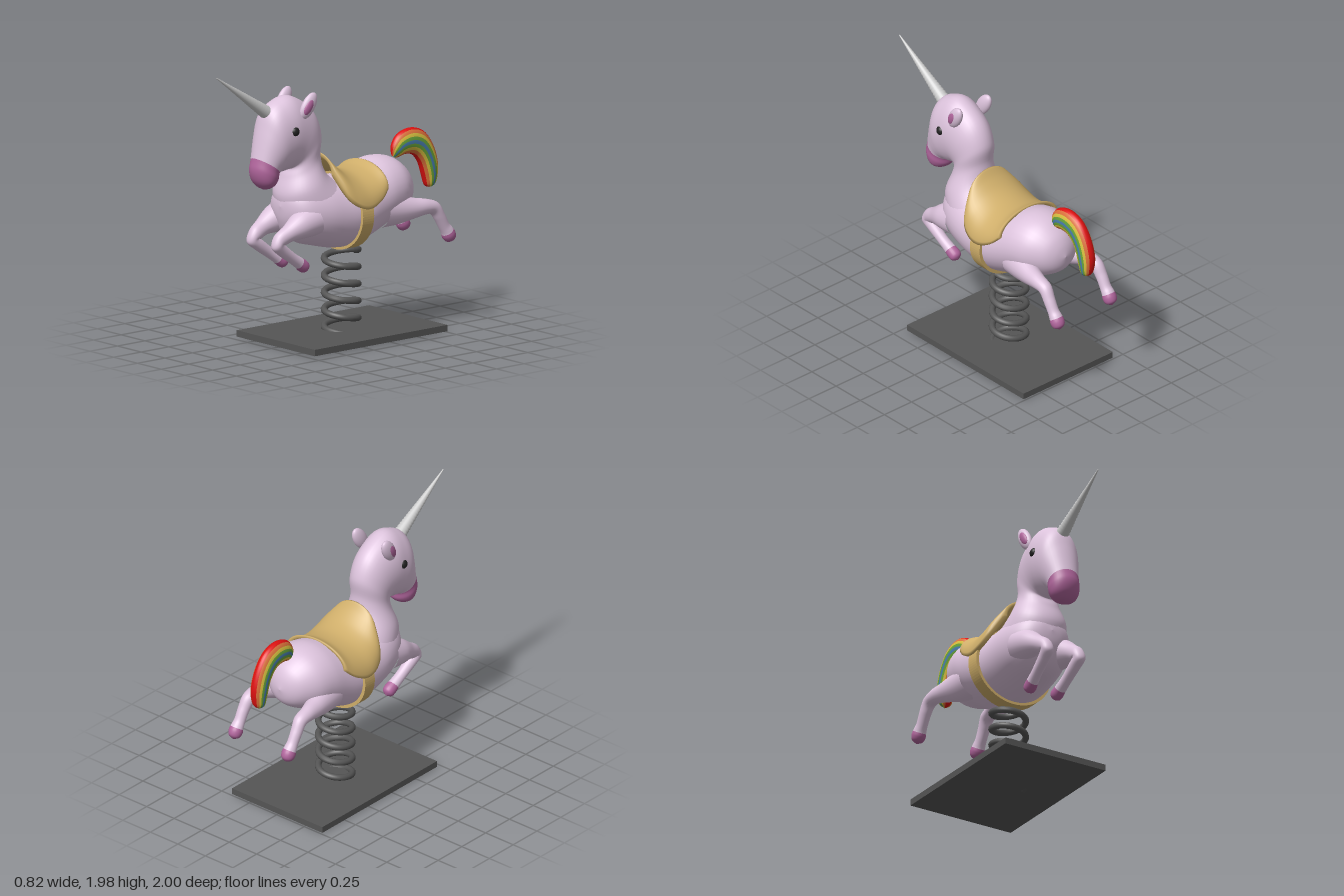
import * as THREE from 'three';

const PINK = 0xdcc3dc, PURPLE = 0xb0659c, TAN = 0xcfae6a, DARK = 0x555555;

function add(parent, name, geometry, color, side = THREE.FrontSide) {
  const mesh = new THREE.Mesh(geometry, new THREE.MeshStandardMaterial({ color, side }));
  mesh.name = name;
  parent.add(mesh);
  return mesh;
}

// Smoothly interpolates a table of rows, column by column
function sampler(rows) {
  const curves = rows[0].map((_, k) => new THREE.SplineCurve(rows.map(r => new THREE.Vector2(r[k], 0))));
  return t => curves.map(c => c.getPoint(t).x);
}

// Skins a grid of points; closed rings share their seam
function skin(rings, closed = true) {
  const n = rings[0].length, pos = [], index = [];
  for (const ring of rings) for (const p of ring) pos.push(...p);
  for (let i = 0; i < rings.length - 1; i++) {
    for (let j = 0; j < (closed ? n : n - 1); j++) {
      const k = (j + 1) % n, a = i * n, b = a + n;
      index.push(a + j, b + j, a + k, a + k, b + j, b + k);
    }
  }
  const g = new THREE.BufferGeometry();
  g.setAttribute('position', new THREE.Float32BufferAttribute(pos, 3));
  g.setIndex(index);
  g.computeVertexNormals();
  return g;
}

// Elliptical loft; row = [outer z, outer y, inner z, inner y, half width, centre x]
function loft(rows, { t0 = 0, t1 = 1, a0 = 0, a1 = 2 * Math.PI, steps = 64, around = 36 } = {}) {
  const at = sampler(rows.map(r => [...r, 0].slice(0, 6)));
  const closed = a1 - a0 > 6.28, count = closed ? around : around + 1, rings = [];
  for (let i = 0; i <= steps; i++) {
    const [zA, yA, zB, yB, rx, cx] = at(t0 + (t1 - t0) * i / steps);
    const ring = [];
    for (let j = 0; j < count; j++) {
      const a = a0 + (a1 - a0) * j / around, c = Math.cos(a) / 2;
      ring.push([cx + Math.max(rx, 0) * Math.sin(a), (yA + yB) / 2 + (yA - yB) * c, (zA + zB) / 2 + (zA - zB) * c]);
    }
    rings.push(ring);
  }
  return skin(rings, closed);
}

// Limb sections from centre-line points [z, y, x, radius]
function limbRows(pts) {
  return pts.map(([z, y, x, r], i) => {
    const p = pts[Math.max(i - 1, 0)], q = pts[Math.min(i + 1, pts.length - 1)];
    const dz = q[0] - p[0], dy = q[1] - p[1], l = Math.hypot(dz, dy);
    const nz = -dy / l * r, ny = dz / l * r;
    return [z + nz, y + ny, z - nz, y - ny, r, x];
  });
}

export function createModel() {
  const model = new THREE.Group();
  model.name = 'springRider';

  // Base plate and coil spring
  add(model, 'basePlate', new THREE.BoxGeometry(0.82, 0.045, 1.205), DARK).position.set(0, 0.033, -0.143);
  const coil = [];
  for (let i = 0; i <= 120; i++) {
    const a = i / 120 * Math.PI * 2 * 5;
    coil.push(new THREE.Vector3(0.118 * Math.cos(a), 0.024 + 0.6 * i / 120, -0.135 + 0.118 * Math.sin(a)));
  }
  add(model, 'spring', new THREE.TubeGeometry(new THREE.CatmullRomCurve3(coil), 300, 0.023, 10), DARK);

  // Torso
  add(model, 'torso', loft([
    [-0.722, 0.98, -0.722, 0.98, 0],
    [-0.70, 1.07, -0.70, 0.89, 0.09],
    [-0.65, 1.145, -0.65, 0.83, 0.165],
    [-0.55, 1.21, -0.55, 0.775, 0.235],
    [-0.43, 1.225, -0.43, 0.74, 0.265],
    [-0.30, 1.195, -0.30, 0.685, 0.275],
    [-0.15, 1.155, -0.15, 0.64, 0.285],
    [0.0, 1.15, 0.0, 0.645, 0.28],
    [0.15, 1.17, 0.15, 0.68, 0.265],
    [0.28, 1.17, 0.28, 0.72, 0.225],
    [0.36, 1.13, 0.36, 0.79, 0.17],
    [0.405, 1.07, 0.405, 0.89, 0.09],
    [0.42, 0.99, 0.42, 0.99, 0],
  ]), PINK);

  // Neck and head fan around the throat, then close at the muzzle
  const headRows = [
    [-0.10, 1.08, 0.38, 0.90, 0.24],
    [0.06, 1.20, 0.42, 1.06, 0.20],
    [0.10, 1.34, 0.385, 1.19, 0.145],
    [0.09, 1.50, 0.365, 1.24, 0.14],
    [0.17, 1.66, 0.365, 1.25, 0.15],
    [0.345, 1.765, 0.37, 1.25, 0.16],
    [0.47, 1.745, 0.39, 1.245, 0.16],
    [0.555, 1.68, 0.42, 1.24, 0.155],
    [0.60, 1.55, 0.44, 1.24, 0.14],
    [0.645, 1.36, 0.465, 1.235, 0.115],
    [0.662, 1.28, 0.475, 1.19, 0.112],
    [0.648, 1.21, 0.505, 1.155, 0.095],
    [0.615, 1.16, 0.545, 1.137, 0.055],
    [0.578, 1.135, 0.578, 1.135, 0],
  ];
  const split = 9 / 13;
  add(model, 'neckAndHead', loft(headRows, { t1: split }), PINK);
  add(model, 'muzzle', loft(headRows, { t0: split, steps: 28 }), PURPLE);

  // Ridged horn
  const horn = [];
  for (let i = 0; i <= 48; i++) {
    const t = i / 48;
    horn.push(new THREE.Vector2((0.05 - 0.046 * t) * (i % 2 ? 1 : 0.9), t * 0.568));
  }
  horn.push(new THREE.Vector2(0, 0.57));
  const hornMesh = add(model, 'horn', new THREE.LatheGeometry(horn, 24), 0xcccccc);
  hornMesh.position.set(0, 1.66, 0.53);
  hornMesh.rotation.x = Math.atan2(0.47, 0.32);

  // Legs with hooves, eyes and ears on both sides
  const legs = {
    front: [[0.24, 0.90, 0.13, 0.12], [0.36, 0.87, 0.14, 0.095], [0.46, 0.83, 0.14, 0.062], [0.535, 0.79, 0.13, 0.05],
      [0.555, 0.755, 0.13, 0.045], [0.51, 0.715, 0.125, 0.042], [0.42, 0.65, 0.12, 0.038], [0.36, 0.61, 0.115, 0.04],
      [0.31, 0.575, 0.11, 0.045], [0.285, 0.556, 0.11, 0.035], [0.27, 0.545, 0.11, 0]],
    back: [[-0.36, 0.88, 0.13, 0.13], [-0.48, 0.87, 0.16, 0.11], [-0.60, 0.865, 0.205, 0.075], [-0.70, 0.865, 0.23, 0.055],
      [-0.775, 0.845, 0.235, 0.048], [-0.82, 0.78, 0.24, 0.042], [-0.86, 0.71, 0.24, 0.04], [-0.885, 0.675, 0.24, 0.045],
      [-0.905, 0.64, 0.24, 0.05], [-0.922, 0.61, 0.24, 0.038], [-0.932, 0.592, 0.24, 0]],
  };
  const ball = new THREE.SphereGeometry(1, 24, 18);
  for (const s of [1, -1]) {
    const label = s > 0 ? 'Left' : 'Right';
    for (const [end, pts] of Object.entries(legs)) {
      const rows = limbRows(pts.map(([z, y, x, r]) => [z, y, x * s, r]));
      add(model, `${end}Leg${label}`, loft(rows, { t1: 0.73, around: 24 }), PINK);
      add(model, `${end}Hoof${label}`, loft(rows, { t0: 0.73, steps: 20, around: 24 }), PURPLE);
    }
    const eye = add(model, `eye${label}`, ball, 0x222222);
    eye.position.set(0.141 * s, 1.54, 0.41);
    eye.scale.set(0.032, 0.036, 0.036);

    const ear = new THREE.Group();
    ear.name = `ear${label}`;
    add(ear, 'earShell', ball, PINK).scale.set(0.034, 0.102, 0.054);
    const inner = add(ear, 'earInside', ball, PURPLE);
    inner.scale.set(0.022, 0.066, 0.034);
    inner.position.set(0.016 * s, -0.008, 0.008);
    ear.position.set(0.13 * s, 1.7, 0.275);
    ear.rotation.set(-0.57, 0, -0.05 * s);
    model.add(ear);
  }

  // Saddle: draped arches with thickness; row = [z, top y, bottom y, half width]
  const arch = sampler([
    [-0.335, 1.22, 1.06, 0.272],
    [-0.26, 1.185, 0.99, 0.295],
    [-0.15, 1.178, 0.945, 0.31],
    [-0.05, 1.208, 0.965, 0.305],
    [0.03, 1.268, 1.04, 0.27],
    [0.083, 1.335, 1.19, 0.175],
  ]);
  const saddleRing = (t, thick) => {
    const [z, top, low, w] = arch(t), ring = [], n = 28;
    for (const side of [1, -1]) {
      for (let j = 0; j <= n; j++) {
        const a = side * (j / n - 0.5) * Math.PI;
        const d = thick * (side > 0 ? 0 : 1) + (0.03 - thick) / 2;
        ring.push([(w - d) * Math.sin(a), low + (top - d - low) * Math.cos(a), z]);
      }
    }
    return ring;
  };
  const saddleRings = [saddleRing(0, 0), saddleRing(0, 0.02)];
  for (let i = 1; i < 30; i++) saddleRings.push(saddleRing(i / 30, 0.03));
  saddleRings.push(saddleRing(1, 0.02), saddleRing(1, 0));
  add(model, 'saddle', skin(saddleRings), TAN, THREE.DoubleSide);

  // Girth strap around the belly
  const strap = new THREE.Shape().absellipse(0, 0, 0.305, 0.272, 0, Math.PI * 2);
  strap.holes.push(new THREE.Path().absellipse(0, 0, 0.28, 0.248, 0, Math.PI * 2));
  const strapGeo = new THREE.ExtrudeGeometry(strap, { depth: 0.1, bevelEnabled: false, curveSegments: 48 });
  add(model, 'girthStrap', strapGeo, TAN).position.set(0, 0.892, -0.172);

  // Rainbow tail: stripes run lengthwise, mirrored about the middle line
  const tailRows = [
    [-0.945, 0.93, -0.945, 0.93, 0],
    [-0.985, 0.975, -0.90, 0.945, 0.042],
    [-1.0, 1.096, -0.875, 1.01, 0.055],
    [-0.96, 1.23, -0.845, 1.10, 0.055],
    [-0.877, 1.337, -0.805, 1.16, 0.055],
    [-0.76, 1.375, -0.76, 1.19, 0.055],
    [-0.65, 1.345, -0.70, 1.195, 0.05],
    [-0.595, 1.27, -0.66, 1.185, 0.035],
    [-0.595, 1.20, -0.62, 1.18, 0.01],
  ];
  const colors = [0xdd1111, 0xd9703a, 0xd8c040, 0x6aa53a, 0x4a7fb0];
  const edges = [0, 27, 50, 67, 82, 98, 113, 130, 153, 180].map(THREE.MathUtils.degToRad);
  const tail = new THREE.Group();
  tail.name = 'tail';
  for (let k = 0; k < 9; k++) {
    const color = colors[Math.min(k, 8 - k)];
    const opts = { steps: 48, around: 5 };
    add(tail, 'tailStripe', loft(tailRows, { ...opts, a0: edges[k], a1: edges[k + 1] }), color);
    add(tail, 'tailStripe', loft(tailRows, { ...opts, a0: -edges[k + 1], a1: -edges[k] }), color);
  }
  model.add(tail);
  return model;
}
